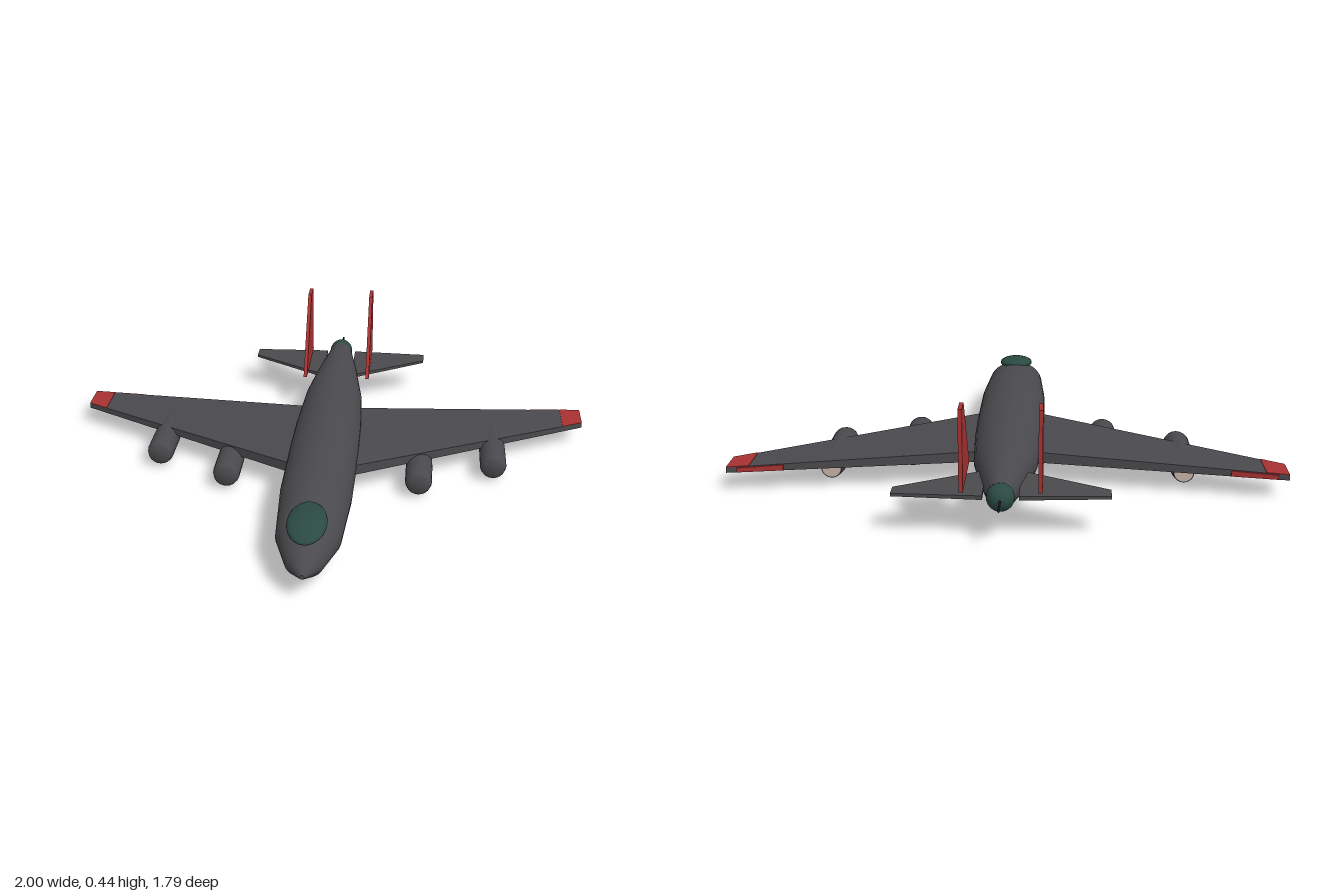
import * as THREE from 'three';
import { toCreasedNormals } from 'three/addons/utils/BufferGeometryUtils.js';

const material = (name, color) => {
  const m = new THREE.MeshStandardMaterial({ color });
  m.name = name;
  return m;
};

// Hull from elliptical rings: [z, top, bottom, halfWidth], listed nose to tail
function loftGeometry(stations, sides) {
  const pos = [], index = [];
  for (const [z, top, bottom, half] of stations) {
    for (let i = 0; i < sides; i++) {
      const a = (i / sides) * Math.PI * 2;
      pos.push(Math.cos(a) * half, (top + bottom) / 2 + (Math.sin(a) * (top - bottom)) / 2, z);
    }
  }
  const last = stations.length - 1;
  for (let r = 0; r < last; r++) {
    for (let i = 0; i < sides; i++) {
      const j = (i + 1) % sides;
      const a = r * sides + i, b = r * sides + j, c = a + sides, d = b + sides;
      index.push(a, c, b, b, c, d);
    }
  }
  // end caps
  for (let i = 1; i < sides - 1; i++) {
    index.push(0, i, i + 1);
    index.push(last * sides, last * sides + i + 1, last * sides + i);
  }
  const g = new THREE.BufferGeometry();
  g.setAttribute('position', new THREE.Float32BufferAttribute(pos, 3));
  g.setIndex(index);
  return toCreasedNormals(g, 0.6);
}

// Tapered panel between two sections {x, front, back, top, bottom}; side is +1 or -1
function panelGeometry(root, tip, side) {
  const section = (s) => [
    [s.x * side, s.top, s.front], [s.x * side, s.top, s.back],
    [s.x * side, s.bottom, s.back], [s.x * side, s.bottom, s.front],
  ];
  const R = section(root), T = section(tip), pos = [];
  const quad = (...q) => {
    if (side < 0) q.reverse();
    for (const k of [0, 1, 2, 0, 2, 3]) pos.push(...q[k]);
  };
  for (let i = 0; i < 4; i++) {
    const j = (i + 1) % 4;
    quad(R[i], T[i], T[j], R[j]);
  }
  quad(...R);
  quad(...T.reverse());
  const g = new THREE.BufferGeometry();
  g.setAttribute('position', new THREE.Float32BufferAttribute(pos, 3));
  g.computeVertexNormals();
  return g;
}

const mix = (a, b, t) =>
  Object.fromEntries(Object.keys(a).map((k) => [k, a[k] + (b[k] - a[k]) * t]));

export function createModel() {
  const model = new THREE.Group();
  model.name = 'aircraft';
  const grey = material('body grey', 0x4a4a4e);
  const red = material('marking red', 0xa83232);
  const green = material('glass green', 0x2a4a42);
  const pale = material('exhaust pale', 0xc8b0a6);
  const black = material('gun black', 0x1c1c1e);

  const add = (name, geometry, mat, x = 0, y = 0, z = 0) => {
    const mesh = new THREE.Mesh(geometry, mat);
    mesh.name = name;
    mesh.position.set(x, y, z);
    model.add(mesh);
    return mesh;
  };

  // Fuselage
  add('fuselage', loftGeometry([
    [0.895, 0.108, 0.092, 0.008],
    [0.83, 0.165, 0.053, 0.065],
    [0.69, 0.208, 0.022, 0.112],
    [0.42, 0.225, 0.007, 0.129],
    [0.1, 0.222, 0, 0.131],
    [-0.1, 0.219, 0.003, 0.128],
    [-0.35, 0.214, 0.02, 0.115],
    [-0.57, 0.208, 0.05, 0.08],
    [-0.77, 0.188, 0.1, 0.042],
  ], 32), grey);

  // Canopy
  const canopy = add('canopy', new THREE.SphereGeometry(1, 24, 16), green, 0, 0.198, 0.725);
  canopy.scale.set(0.068, 0.026, 0.11);
  canopy.rotation.x = 0.12;

  // Tail turret and gun
  add('tailTurret', new THREE.SphereGeometry(0.047, 20, 14), green, 0, 0.146, -0.77);
  add('tailGun', new THREE.CylinderGeometry(0.004, 0.004, 0.12, 8).rotateX(Math.PI / 2),
    black, 0, 0.148, -0.84);

  // Engine pod, origin at its front end
  const podGeometry = toCreasedNormals(new THREE.LatheGeometry([
    [0, -0.35], [0.038, -0.35], [0.046, -0.3], [0.05, -0.14],
    [0.05, -0.025], [0.045, -0.008], [0.035, 0], [0, 0],
  ].map(([r, y]) => new THREE.Vector2(r, y)), 20).rotateX(Math.PI / 2), 0.7);
  const exhaustGeometry = new THREE.CircleGeometry(0.034, 20).rotateY(Math.PI);

  // Fin outline, drawn in (-z, y) and turned upright
  const finShape = new THREE.Shape([
    [0.465, 0.156], [0.76, 0.156], [0.76, 0.436], [0.683, 0.436],
  ].map(([a, b]) => new THREE.Vector2(a, b)));
  const finGeometry = new THREE.ExtrudeGeometry(finShape, { depth: 0.014, bevelEnabled: false })
    .translate(0, 0, -0.007).rotateY(Math.PI / 2);

  const wingRoot = { x: 0.04, front: 0.248, back: -0.254, top: 0.126, bottom: 0.085 };
  const wingTip = { x: 1, front: -0.27, back: -0.382, top: 0.092, bottom: 0.072 };
  const tailRoot = { x: 0.06, front: -0.52, back: -0.762, top: 0.146, bottom: 0.132 };
  const tailTip = { x: 0.36, front: -0.69, back: -0.751, top: 0.146, bottom: 0.136 };

  for (const side of [1, -1]) {
    const label = side > 0 ? 'left' : 'right';
    add(label + 'Wing', panelGeometry(wingRoot, wingTip, side), grey);

    // Painted wing tip, a thin plate on the upper skin
    const plate = (s) => ({ ...s, bottom: s.top - 0.001, top: s.top + 0.002 });
    add(label + 'TipPanel',
      panelGeometry(plate(mix(wingRoot, wingTip, 0.917)), plate(wingTip), side), red);

    // Aileron strip on the trailing edge
    const strip = (s) => ({
      ...s, front: s.back + 0.003, back: s.back - 0.007,
      top: s.top - 0.002, bottom: s.bottom + 0.002,
    });
    add(label + 'Aileron', panelGeometry(strip(mix(wingRoot, wingTip, 0.79)),
      strip(mix(wingRoot, wingTip, 0.96)), side), red);

    add(label + 'Tailplane', panelGeometry(tailRoot, tailTip, side), grey);
    add(label + 'Fin', finGeometry, red, side * 0.129);

    // Inner and outer engines
    for (const [part, x, z] of [['Inner', 0.36, 0.215], ['Outer', 0.64, 0.07]]) {
      add(label + part + 'Engine', podGeometry, grey, side * x, 0.059, z);
      add(label + part + 'Exhaust', exhaustGeometry, pale, side * x, 0.059, z - 0.352);
    }
  }
  return model;
}
